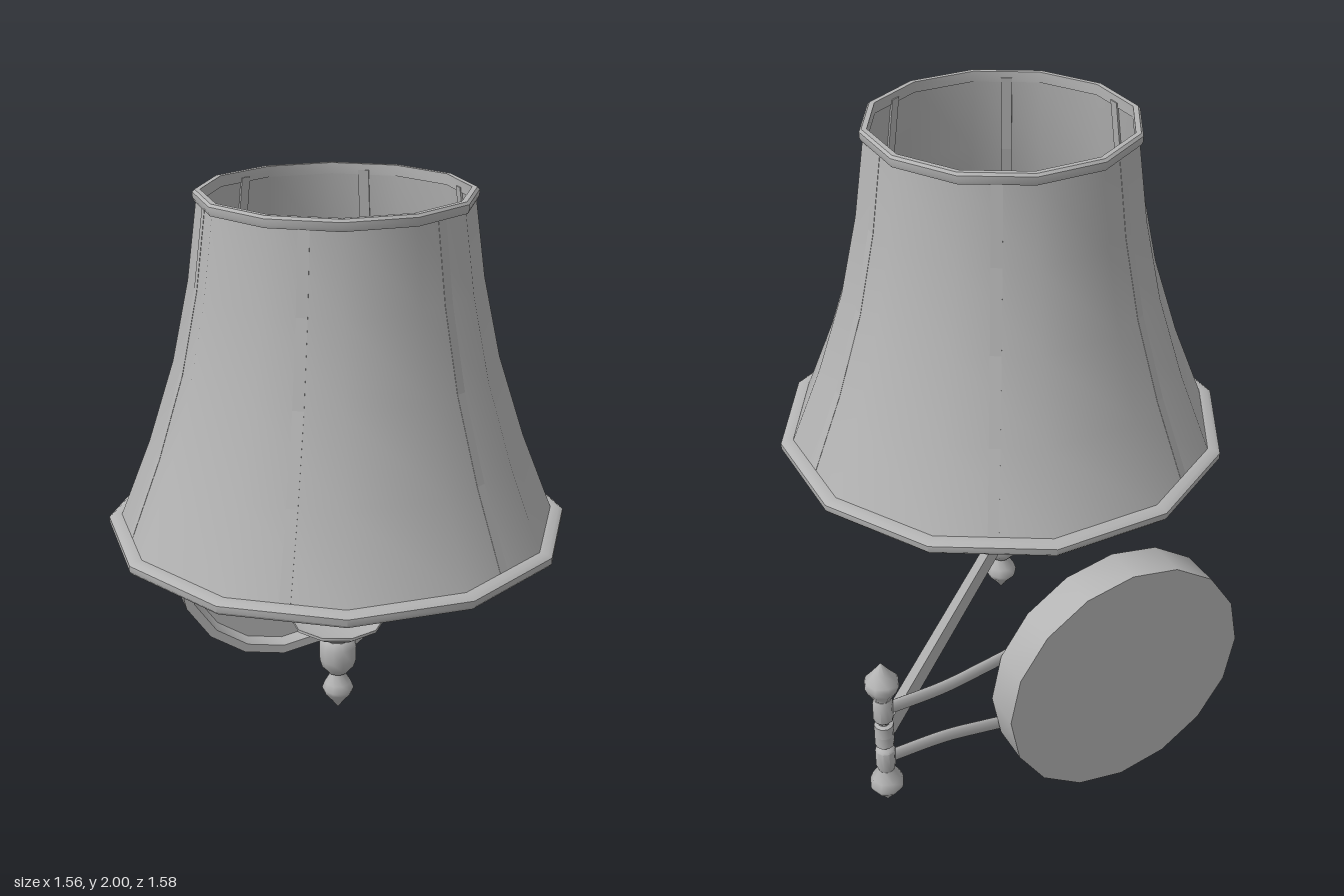
import * as THREE from 'three';
import { toCreasedNormals } from 'three/addons/utils/BufferGeometryUtils.js';

const LAMP = { x: -0.055, z: 0.06 };
const POLE = { x: 0.72, z: -0.645 };

export function createModel() {
  const model = new THREE.Group();
  model.name = 'wallLamp';
  const grey = new THREE.MeshStandardMaterial({ color: 0xb4b4b4 });
  grey.name = 'plain grey';

  const add = (name, geometry, parent = model) => {
    const mesh = new THREE.Mesh(geometry, grey);
    mesh.name = name;
    parent.add(mesh);
    return mesh;
  };
  const group = (name, at) => {
    const g = new THREE.Group();
    g.name = name;
    g.position.set(at.x, 0, at.z);
    model.add(g);
    return g;
  };
  // Turned part from [radius, height] pairs, listed upwards on the outside
  const turned = (profile, sides, crease = 0.9, start = 0) => toCreasedNormals(
    new THREE.LatheGeometry(profile.map(([r, y]) => new THREE.Vector2(r, y)), sides, start), crease);

  // Shade: twelve sides, given by the distance to the middle of each side
  const shade = group('shade', LAMP);
  const wide = 1 / Math.cos(Math.PI / 12);
  const outer = [[0.69, 0.92], [0.585, 1.19], [0.5, 1.46], [0.445, 1.72], [0.41, 1.98]];
  const twelve = (profile) => turned(profile.map(([r, y]) => [r * wide, y]), 12, 0.7, Math.PI / 12);
  const inner = outer.map(([r, y]) => [r - 0.01, y]).reverse();
  add('shadeWall', twelve([...outer, ...inner, outer[0]]));
  add('bottomTrim', twelve([[0.685, 0.895], [0.717, 0.895], [0.725, 0.905], [0.725, 0.925],
    [0.712, 0.935], [0.685, 0.935], [0.685, 0.895]]));
  add('topTrim', twelve([[0.398, 1.965], [0.417, 1.965], [0.421, 1.975], [0.421, 1.992],
    [0.414, 2], [0.398, 2], [0.398, 1.965]]));

  // Six ribs inside the shade, each with a spoke to the middle
  for (let i = 0; i < 6; i++) {
    const arm = new THREE.Group();
    arm.name = 'ribAndSpoke';
    arm.rotation.y = i * Math.PI / 3;
    shade.add(arm);
    const outline = new THREE.Shape([...outer.map(([r, y]) => [r + 0.001, y]),
      ...outer.map(([r, y]) => [r - 0.016, y]).reverse()].map(([r, y]) => new THREE.Vector2(r, y)));
    const rib = new THREE.ExtrudeGeometry(outline, { depth: 0.035, bevelEnabled: false });
    add('rib', rib.translate(0, 0, -0.0175), arm);
    add('spoke', new THREE.CylinderGeometry(0.009, 0.009, 0.58, 6)
      .rotateZ(Math.PI / 2).translate(0.29, 1.2, 0), arm);
  }

  // Lamp holder: finial, cup, dish, stem and bulb
  const holder = group('lampHolder', LAMP);
  const finial = [[0, 0], [0.025, 0.035], [0.05, 0.065], [0.055, 0.08], [0.046, 0.105], [0.025, 0.14]];
  add('holderFinial', turned([...finial.map(([r, y]) => [r, y + 0.18]), [0.028, 0.33]], 10, 1));
  add('cup', turned([[0, 0.32], [0.035, 0.325], [0.056, 0.35], [0.065, 0.38], [0.065, 0.43],
    [0.055, 0.455], [0.04, 0.465], [0, 0.468]], 12));
  add('dish', turned([[0.05, 0.455], [0.06, 0.475], [0.09, 0.492], [0.13, 0.505], [0.16, 0.525],
    [0.16, 0.535], [0.13, 0.527], [0, 0.522]], 10));
  add('stem', turned([[0.051, 0.52], [0.051, 1.12], [0, 1.12]], 12));
  add('bulb', turned([[0.03, 1.1], [0.06, 1.15], [0.085, 1.22], [0.08, 1.27], [0.05, 1.32], [0, 1.34]], 8, 1));

  // Pivot pole with a finial at both ends
  const pole = group('pivotPole', POLE);
  const half = [[0.018, 0.375], [0.03, 0.38], [0.03, 0.42]];
  const collar = [[0, 0.27], [0.026, 0.275], [0.031, 0.29], [0.031, 0.355], [0.026, 0.362], [0.018, 0.368]];
  const lower = [...collar, ...half];
  const tip = [...finial.map(([r, y]) => [r, y + 0.135]), [0.025, 0.28]];
  const flip = (profile) => profile.map(([r, y]) => [r, 0.84 - y]).reverse();
  for (const [place, rule] of [['lower', (p) => p], ['upper', flip]]) {
    add(place + 'PoleHalf', turned(rule(lower), 10, 0.8), pole);
    add(place + 'PoleFinial', turned(rule(tip), 8, 1), pole);
  }

  // Straight bar from the lamp holder to the pole
  const dx = POLE.x - LAMP.x, dz = POLE.z - LAMP.z;
  const bar = add('swingBar', new THREE.BoxGeometry(Math.hypot(dx, dz) - 0.06, 0.076, 0.03));
  bar.position.set((POLE.x + LAMP.x) / 2, 0.422, (POLE.z + LAMP.z) / 2);
  bar.rotation.y = Math.atan2(-dz, dx);

  // Two curved arms from the wall plate to the pole, mirrored in height
  for (const s of [1, -1]) {
    const path = new THREE.CatmullRomCurve3([[-0.055, 0.15], [0.1, 0.15], [0.25, 0.147], [0.38, 0.125],
      [0.52, 0.103], [0.72, 0.1]].map(([x, y]) => new THREE.Vector3(x, s * y, 0)));
    const arm = add(s > 0 ? 'upperArm' : 'lowerArm', new THREE.TubeGeometry(path, 24, 0.026, 8));
    arm.scale.z = 0.45;
    arm.position.set(0, 0.42, -0.648);
  }
  const bracket = add('armBracket', new THREE.BoxGeometry(0.09, 0.36, 0.05));
  bracket.position.set(-0.055, 0.42, -0.685);

  // Round wall plate with a raised rim, turned to face the front
  const plate = add('wallPlate', turned([[0, 0], [0.417, 0], [0.417, 0.125], [0.382, 0.125],
    [0.365, 0.085], [0, 0.085]], 16, 0.6));
  plate.rotation.x = Math.PI / 2;
  plate.position.set(-0.055, 0.42, -0.79);

  // Parts of the turned groups
  for (const name of ['shadeWall', 'bottomTrim', 'topTrim']) shade.add(model.getObjectByName(name));
  for (const name of ['holderFinial', 'cup', 'dish', 'stem', 'bulb']) holder.add(model.getObjectByName(name));
  return model;
}
